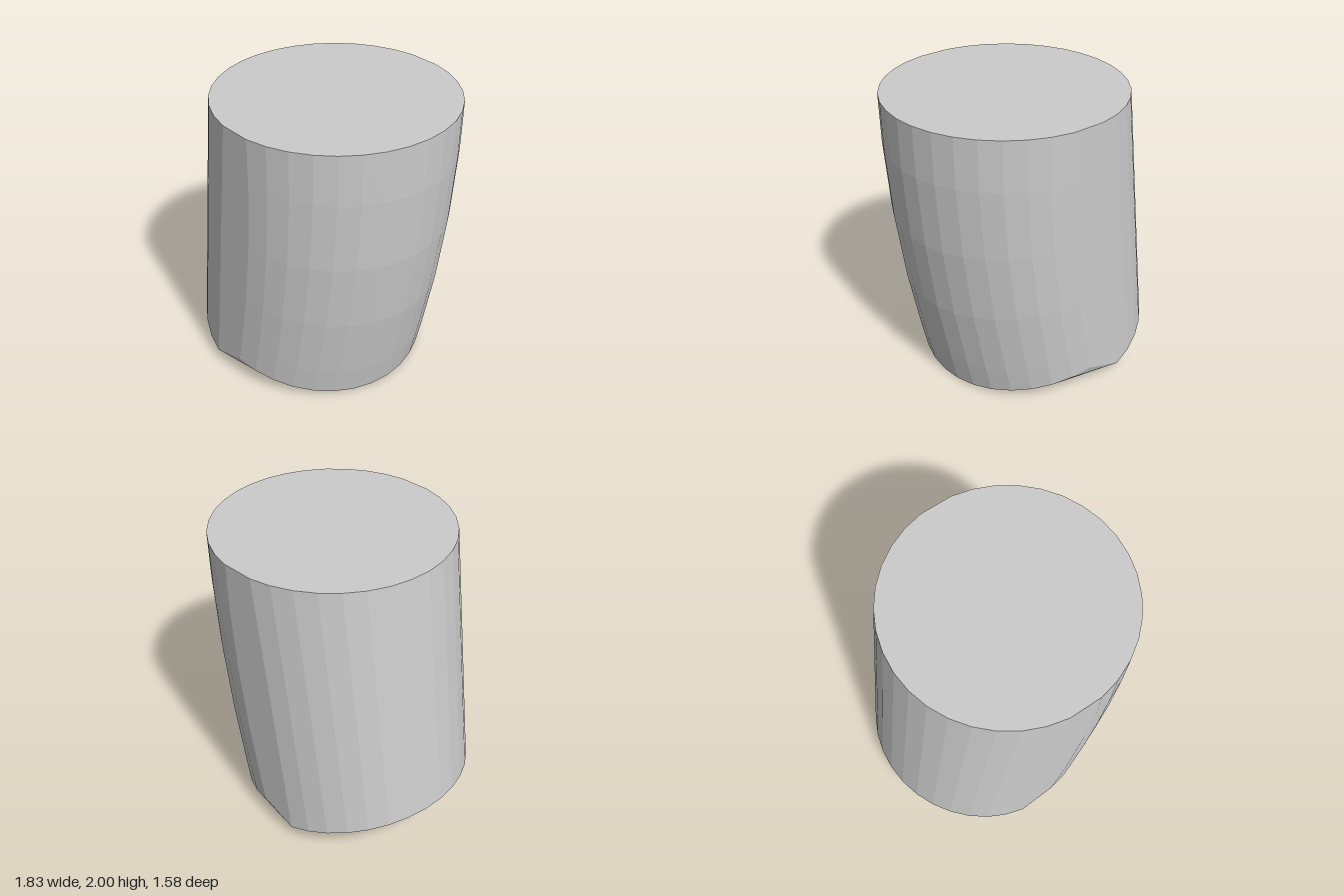
import * as THREE from 'three';
import { ConvexGeometry } from 'three/addons/geometries/ConvexGeometry.js';

const R = 0.797;
const STEP = THREE.MathUtils.degToRad(10.25);

// Half ring of points reaching out to tip (x, y); side is +1 or -1 along x.
// Its plane rises towards -x by the given slope.
function halfRing(side, x, y, slope) {
  const squash = Math.cos(Math.atan(slope));
  const points = [];
  for (let k = -8; k <= 8; k++) {
    const inset = R * (1 - Math.cos(k * STEP)) * squash;
    points.push(new THREE.Vector3(
      x - side * inset,
      y + side * slope * inset,
      R * Math.sin(k * STEP)
    ));
  }
  return points;
}

export function createModel() {
  const group = new THREE.Group();
  group.name = 'bentCylinder';

  // Bowed side: half rings that tilt more and more towards the bottom
  const bowed = [
    [0.91, 2, 0],
    [0.905, 1.66, 0.02],
    [0.87, 1.17, 0.07],
    [0.805, 0.68, 0.14],
    [0.715, 0.205, 0.23],
    [0.67, 0, 0.27],
  ].flatMap(([x, y, slope]) => halfRing(1, x, y, slope));

  // Straight side: only the top and the tilted bottom
  const straight = [
    ...halfRing(-1, -0.685, 2, 0),
    ...halfRing(-1, -0.915, 0.265, 0.27),
  ];

  // Solid hull around both sides
  const body = new THREE.Mesh(
    new ConvexGeometry([...bowed, ...straight]),
    new THREE.MeshStandardMaterial({ color: 0xcccccc, flatShading: true })
  );
  body.name = 'body';
  group.add(body);
  return group;
}
